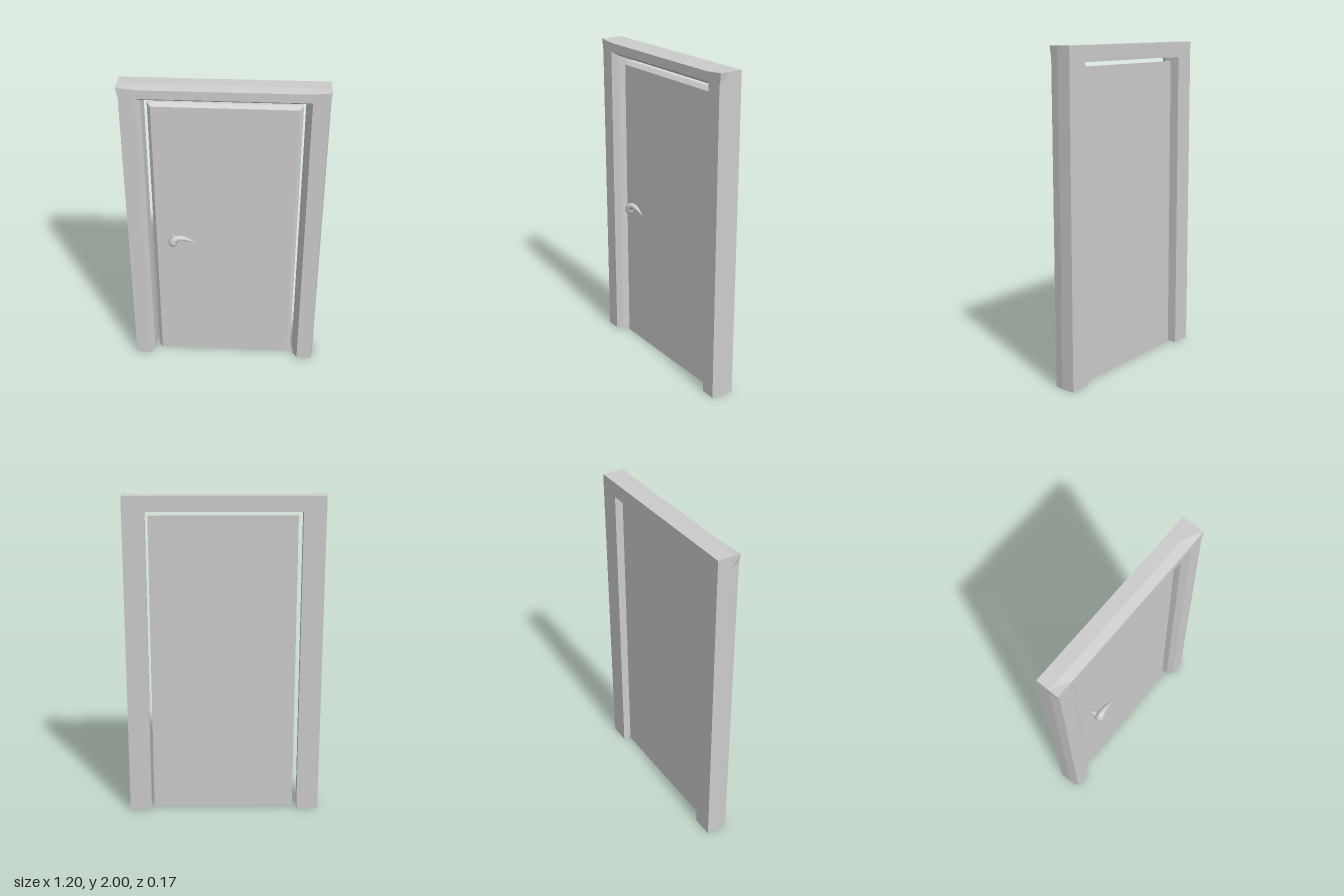
import * as THREE from 'three';

const material = () => new THREE.MeshStandardMaterial({ color: 0xcccccc });

function addMesh(group, name, geometry) {
  const mesh = new THREE.Mesh(geometry, material());
  mesh.name = name;
  group.add(mesh);
}

// Door surround: one section swept up a leg, over the head and down again.
function frameGeometry() {
  const W = 0.6, H = 2;
  // Per point: inset from the side, inset from the top, z, dip of the outer edge
  const section = [
    [0, 0, -0.083, 0], [0, 0, 0.0, 0], [0, 0, 0.058, 0.011],
    [0.105, 0.065, 0.058, 0], [0.13, 0.09, 0.02, 0], [0.135, 0.093, -0.083, 0],
  ];
  // The outer front edge dips along each member but flares out at the corners
  const half = [
    ([d, , z, dip]) => [d + dip - W, 0, z],
    ([d, e, z, dip]) => [d + dip - W, d ? H - e : 1.93, z],
    ([d, e, z]) => [d - W, H - e, z],
    ([d, e, z, dip]) => [d ? d - W : -0.48, H - e - dip, z],
  ];
  const left = half.map((f) => section.map(f));
  const right = left.map((ring) => ring.map(([x, y, z]) => [-x, y, z])).reverse();
  const rings = [...left, ...right];
  const out = [];
  const tri = (a, b, c) => out.push(...a, ...b, ...c);
  const n = section.length;
  for (let j = 0; j < rings.length - 1; j++) {
    for (let i = 0; i < n; i++) {
      const k = (i + 1) % n;
      const a = rings[j][i], b = rings[j][k], c = rings[j + 1][k], d = rings[j + 1][i];
      tri(a, b, c);
      tri(a, c, d);
    }
  }
  // Feet of the two legs
  const first = rings[0], last = rings[rings.length - 1];
  for (let i = 1; i < n - 1; i++) {
    tri(first[0], first[i + 1], first[i]);
    tri(last[0], last[i], last[i + 1]);
  }
  const g = new THREE.BufferGeometry();
  g.setAttribute('position', new THREE.Float32BufferAttribute(out, 3));
  g.computeVertexNormals();
  return g;
}

// Slab with the front edge chamfered on both sides and the top.
function doorGeometry() {
  const w = 0.89, h = 1.875, t = 0.045, chamfer = 0.02;
  const g = new THREE.BoxGeometry(w, h, t, 1, 1, 2).toNonIndexed();
  const p = g.attributes.position;
  for (let i = 0; i < p.count; i++) {
    if (p.getZ(i) > t / 4) {
      p.setX(i, p.getX(i) - Math.sign(p.getX(i)) * chamfer);
      if (p.getY(i) > 0) p.setY(i, p.getY(i) - chamfer);
    }
  }
  g.computeVertexNormals();
  return g.translate(0.005, 0.005 + h / 2, -0.018);
}

// Round tube whose radius follows a list spread along its path.
function taperedTube(points, radii, steps = 40, sides = 16) {
  const curve = new THREE.CatmullRomCurve3(points.map((p) => new THREE.Vector3(...p)));
  const g = new THREE.TubeGeometry(curve, steps, 1, sides, false);
  const radius = new THREE.CatmullRomCurve3(radii.map((r) => new THREE.Vector3(r, 0, 0)));
  const p = g.attributes.position;
  const v = new THREE.Vector3();
  for (let i = 0; i < p.count; i++) {
    const u = Math.floor(i / (sides + 1)) / steps;
    const centre = curve.getPointAt(u);
    const r = radius.getPoint(curve.getUtoTmapping(u)).x;
    v.fromBufferAttribute(p, i).sub(centre).multiplyScalar(r).add(centre);
    p.setXYZ(i, v.x, v.y, v.z);
  }
  g.computeVertexNormals();
  return g;
}

export function createModel() {
  const model = new THREE.Group();
  model.name = 'doorway';
  addMesh(model, 'frame', frameGeometry());
  addMesh(model, 'door', doorGeometry());

  // Lever handle: rounded knob end, curving over into a thin tip
  const handle = new THREE.Group();
  handle.name = 'handle';
  addMesh(handle, 'lever', taperedTube(
    [[-0.312, 0.911, 0.052], [-0.313, 0.924, 0.055], [-0.314, 0.945, 0.057], [-0.302, 0.965, 0.057],
      [-0.27, 0.976, 0.055], [-0.225, 0.965, 0.052], [-0.175, 0.944, 0.053]],
    [0.001, 0.022, 0.027, 0.024, 0.017, 0.012, 0.001]));
  const shank = new THREE.CylinderGeometry(0.016, 0.018, 0.054, 20);
  addMesh(handle, 'shank', shank.rotateX(Math.PI / 2).translate(-0.314, 0.942, 0.028));
  model.add(handle);
  return model;
}
